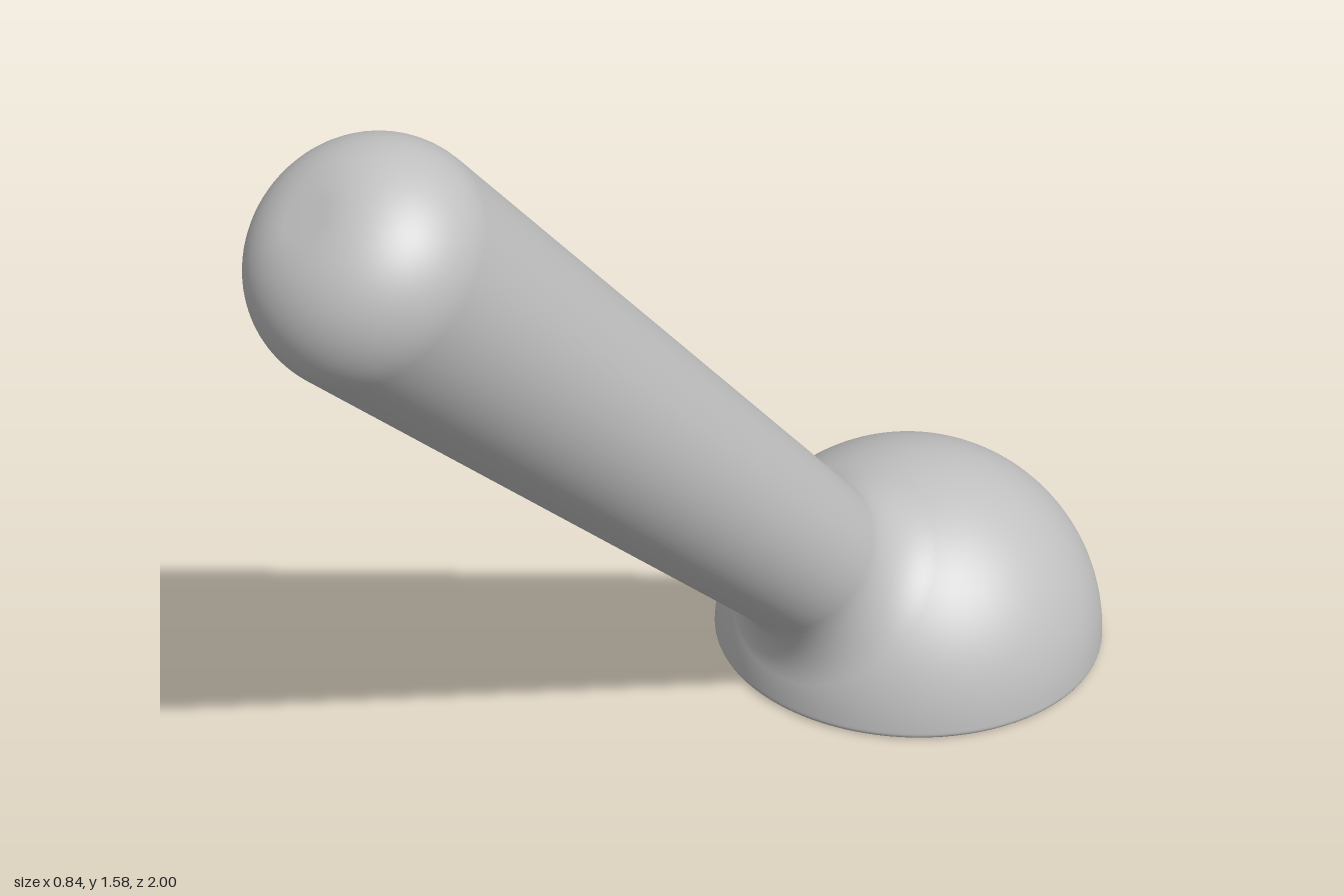
import * as THREE from 'three';

// Points on an arc; x is the radius from the lathe axis, y the height along it
function arc(cx, cy, r, from, to, steps) {
  const pts = [];
  for (let i = 0; i <= steps; i++) {
    const a = from + (to - from) * i / steps;
    pts.push(new THREE.Vector2(Math.max(0, cx + r * Math.cos(a)), cy + r * Math.sin(a)));
  }
  return pts;
}

export function createModel() {
  const grey = new THREE.MeshStandardMaterial({ color: 0xc0c0c0 });
  grey.name = 'light grey';

  const model = new THREE.Group();
  model.name = 'domeWithHandle';
  const add = (name, geometry, parent) => {
    const mesh = new THREE.Mesh(geometry, grey);
    mesh.name = name;
    parent.add(mesh);
  };

  const outer = 0.42, inner = 0.34, edge = 0.012;

  // Hollow dome, with a softened outer edge and a flat rim
  const dome = new THREE.Group();
  dome.name = 'dome';
  dome.position.z = -0.58;
  model.add(dome);
  const shell = [
    ...arc(outer - edge, edge, edge, -Math.PI / 2, 0, 5),
    ...arc(0, 0, outer, 0.04, Math.PI / 2, 40),
  ];
  add('domeShell', new THREE.LatheGeometry(shell, 96), dome);
  add('domeBowl', new THREE.LatheGeometry(arc(0, 0, inner, Math.PI / 2, 0, 40), 96), dome);
  add('domeRim', new THREE.RingGeometry(inner, outer - edge, 96).rotateX(Math.PI / 2), dome);

  // Tapered handle leaning forward from the dome centre: fillet, shaft, rounded end
  const fillet = 0.166, neckRadius = 0.17, neckHeight = 0.48;
  const cx = neckRadius + fillet;
  const taper = 0.036;
  const profile = [
    ...arc(cx, neckHeight, fillet, Math.PI + Math.atan2(neckHeight, cx), Math.PI - taper, 20),
    ...arc(0.042, 1.935, 0.18, -taper, Math.PI / 2, 20),
    new THREE.Vector2(0, 2.115),
  ];
  const handle = new THREE.Group();
  handle.name = 'handle';
  handle.rotation.x = Math.PI / 4;
  dome.add(handle);
  add('handleShaft', new THREE.LatheGeometry(profile, 72), handle);

  return model;
}
